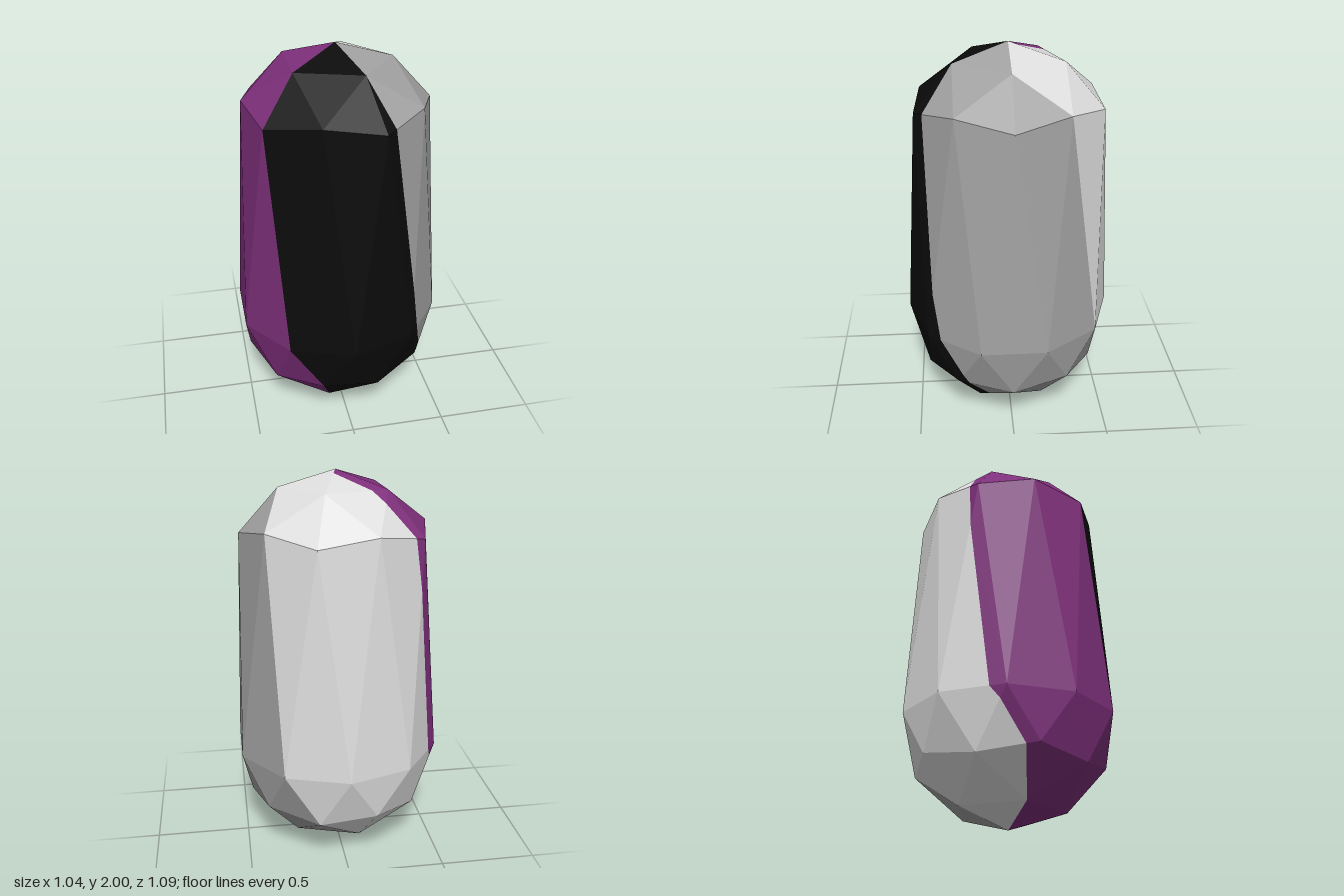
import * as THREE from 'three';

const R = 0.545;           // radius of the rounded ends
const STRETCH = 2 - 2 * R; // distance between the two end centres

// Rings of a once-divided icosahedron from the top pole (0) to the bottom pole (6).
// A point is [ring, azimuth]; rings 2 and 4 alternate between corners and edge midpoints.
function place([ring, az]) {
  const corner = ring === 2 ? az % 72 === 0 : (az - 36) % 72 === 0;
  const up = ring > 3 ? 6 - ring : ring;
  const [r, h] = [[0, 1], [0.526, 0.851], corner ? [0.894, 0.447] : [0.851, 0.526], [1, 0]][up];
  const a = THREE.MathUtils.degToRad(az);
  const y = ring < 3 ? R + STRETCH + R * h : R - R * h;
  return new THREE.Vector3(R * r * Math.cos(a), y, R * r * Math.sin(a));
}

// The second half of the body is the first one turned end over end.
const turn = ([ring, az]) => [6 - ring, -108 - az];

// Triangle strips of one half: the painted wedge and the plain shell beside it
const WEDGE = [
  [[0, 0], [1, 144], [1, 72]],
  [[2, 144], [1, 144], [2, 108], [1, 72], [2, 72]],
  [[2, 144], [3, 126], [2, 108], [3, 90], [2, 72], [3, 54]],
  [[3, 126], [4, 108], [3, 90], [4, 72], [3, 54], [4, 36]],
  [[4, 108], [5, 108], [4, 72], [5, 36], [4, 36]],
  [[5, 108], [5, 36], [6, 0]],
];
const SHELL = [
  [[0, 0], [1, 72], [1, 0]],
  [[1, 72], [2, 36], [1, 0], [2, 0], [2, -36]],
  [[2, 36], [3, 18], [2, 0], [3, -18], [2, -36], [3, -54]],
  [[3, 18], [4, 0], [3, -18], [4, -36], [3, -54], [4, -72]],
  [[4, 0], [4, -36], [5, -36], [4, -72], [5, -108]],
  [[5, -36], [5, -108], [6, 0]],
];
// Strip crossed by the colour border; the value is the signed side of the border
const BORDER = [[1, 72], [2, 72], [2, 36], [3, 54], [3, 18], [4, 36], [4, 0], [5, 36], [5, -36], [6, 0]];
const SIDE = [0, 0.22, -0.78, 0.21, -0.63, 0.17, -0.68, 0.29, -0.83, 0.18];

// Adds a convex polygon as triangles that face outwards
function addPolygon(out, pts) {
  for (let i = 1; i + 1 < pts.length; i++) {
    const [a, b, c] = [pts[0], pts[i], pts[i + 1]];
    const n = b.clone().sub(a).cross(c.clone().sub(a));
    const mid = a.clone().add(b).add(c).divideScalar(3);
    mid.y -= THREE.MathUtils.clamp(mid.y, R, R + STRETCH);
    for (const p of n.dot(mid) > 0 ? [a, b, c] : [a, c, b]) out.push(p.x, p.y, p.z);
  }
}

// Keeps the part of a triangle on the positive side of the border
function clip(pts, f) {
  const kept = [];
  pts.forEach((p, i) => {
    const j = (i + 1) % 3;
    if (f[i] >= 0) kept.push(p);
    if (f[i] * f[j] < 0) kept.push(p.clone().lerp(pts[j], f[i] / (f[i] - f[j])));
  });
  return kept;
}

function region(name, strips, sign, map, material) {
  const out = [];
  for (const strip of strips) {
    const pts = strip.map((k) => place(map(k)));
    for (let i = 0; i + 2 < pts.length; i++) addPolygon(out, pts.slice(i, i + 3));
  }
  const edge = BORDER.map((k) => place(map(k)));
  for (let i = 0; i + 2 < edge.length; i++) {
    addPolygon(out, clip(edge.slice(i, i + 3), SIDE.slice(i, i + 3).map((s) => s * sign)));
  }
  const geometry = new THREE.BufferGeometry();
  geometry.setAttribute('position', new THREE.Float32BufferAttribute(out, 3));
  geometry.computeVertexNormals(); // unshared corners give flat facets
  const mesh = new THREE.Mesh(geometry, material);
  mesh.name = name;
  return mesh;
}

function paint(name, color) {
  const m = new THREE.MeshStandardMaterial({ color });
  m.name = name;
  return m;
}

export function createModel() {
  const group = new THREE.Group();
  group.name = 'facetedCapsule';
  const same = (k) => k;
  group.add(
    region('frontPanel', WEDGE, 1, same, paint('black', 0x0b0b0b)),
    region('rightShell', SHELL, -1, same, paint('midGrey', 0xa2a2a2)),
    region('sidePanel', WEDGE, 1, turn, paint('purple', 0x7f307c)),
    region('backShell', SHELL, -1, turn, paint('lightGrey', 0xdedede)),
  );
  return group;
}
